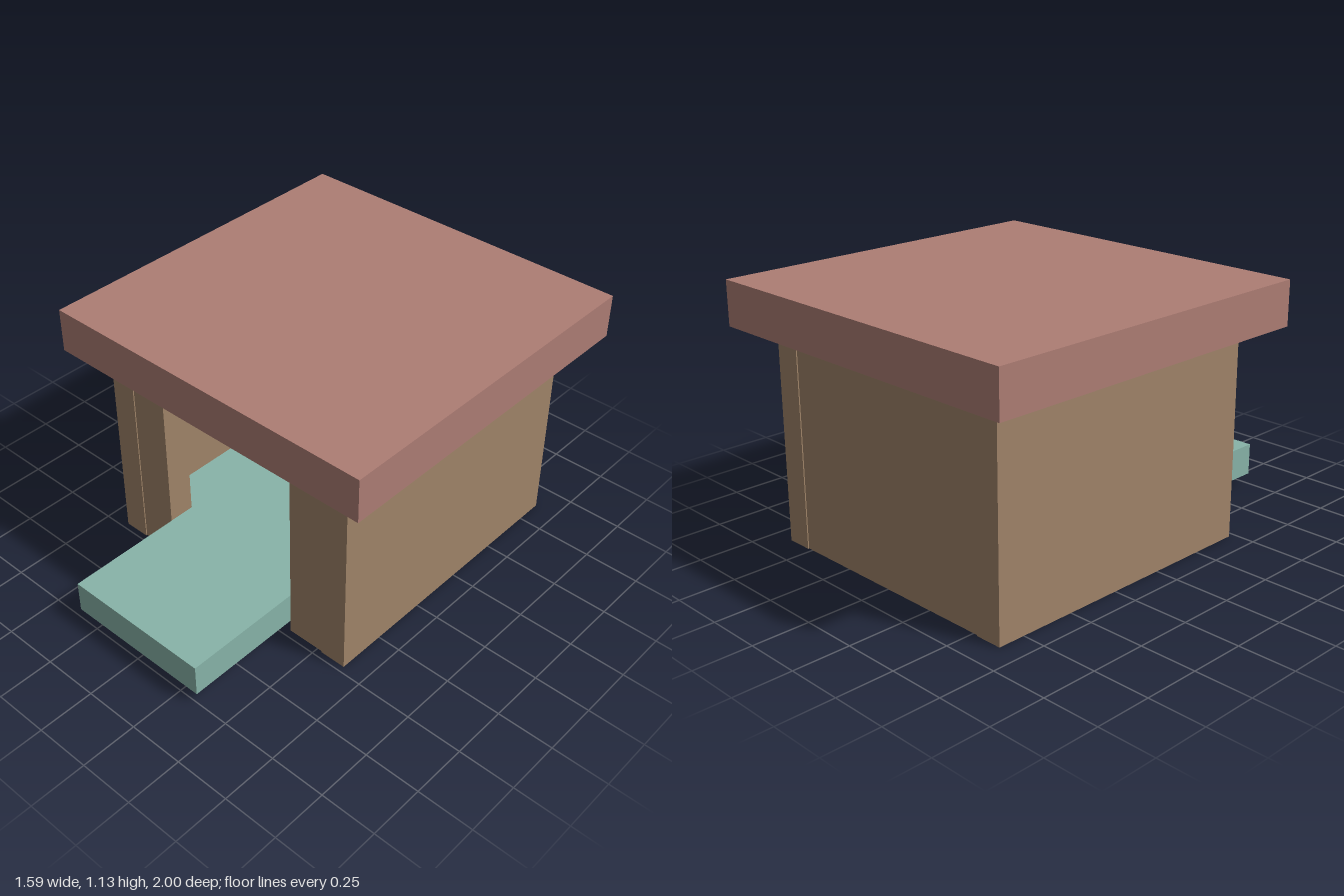
import * as THREE from 'three';

const material = (color) => new THREE.MeshStandardMaterial({ color });

export function createModel() {
  const model = new THREE.Group();
  const brown = material(0xa08469);
  const red = material(0xad7d74);
  const teal = material(0x88b4a9);
  const slate = material(0x4d595b);

  // Box given by its minimum and maximum corners
  const box = (name, mat, [x0, y0, z0], [x1, y1, z1]) => {
    const mesh = new THREE.Mesh(new THREE.BoxGeometry(x1 - x0, y1 - y0, z1 - z0), mat);
    mesh.position.set((x0 + x1) / 2, (y0 + y1) / 2, (z0 + z1) / 2);
    mesh.name = name;
    model.add(mesh);
  };

  // Side walls, standing slightly proud of the front and back walls
  box('leftWall', brown, [0.525, 0, -0.873], [0.645, 0.94, 0.472]);
  box('rightWall', brown, [-0.645, 0, -0.873], [-0.525, 0.94, 0.472]);
  box('backWall', brown, [-0.525, 0, -0.868], [0.525, 0.94, -0.75]);

  // Front wall with an open doorway
  const outline = [
    [-0.525, 0], [-0.35, 0], [-0.35, 0.8], [0.35, 0.8],
    [0.35, 0], [0.525, 0], [0.525, 0.94], [-0.525, 0.94],
  ];
  const shape = new THREE.Shape(outline.map(([x, y]) => new THREE.Vector2(x, y)));
  const frontWall = new THREE.Mesh(
    new THREE.ExtrudeGeometry(shape, { depth: 0.12, bevelEnabled: false }), brown);
  frontWall.position.z = 0.347;
  frontWall.name = 'frontWall';
  model.add(frontWall);

  // Dark lining on the inside of the back wall
  box('backLining', slate, [-0.52, 0.1, -0.75], [0.52, 0.94, -0.74]);

  // Raised floor and the step that runs out through the doorway
  box('floor', teal, [-0.515, 0.01, -0.735], [0.515, 0.19, 0.345]);
  box('entranceStep', teal, [-0.345, 0.05, 0.3], [0.345, 0.195, 1]);

  // Flat overhanging roof
  box('roof', red, [-0.795, 0.94, -1], [0.795, 1.135, 0.592]);

  return model;
}
